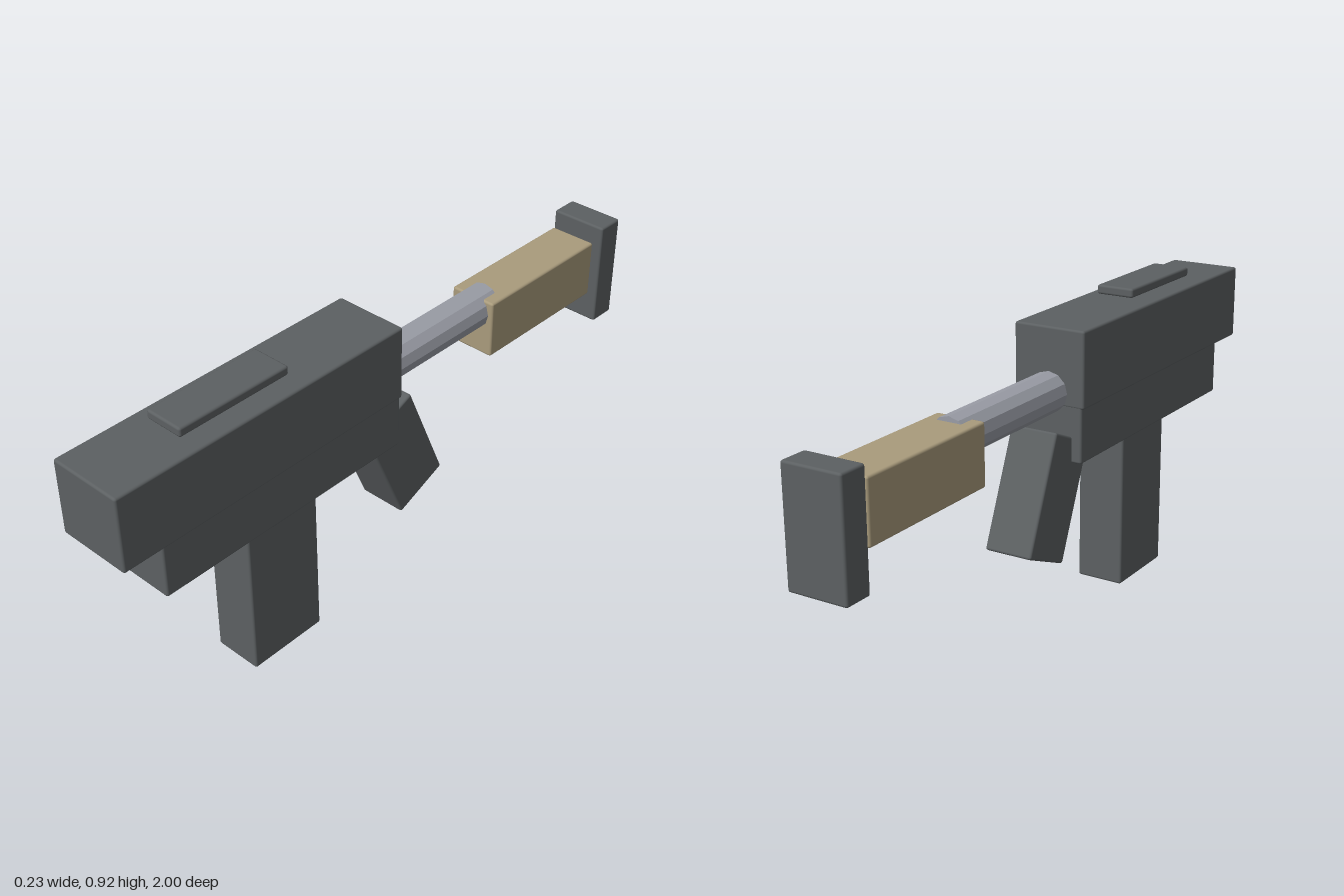
import * as THREE from 'three';
import { RoundedBoxGeometry } from 'three/addons/geometries/RoundedBoxGeometry.js';

export function createModel() {
  const group = new THREE.Group();
  const mat = (name, color) => {
    const m = new THREE.MeshStandardMaterial({ color });
    m.name = name;
    return m;
  };
  const darkMetal = mat('darkMetal', 0x5c6062);
  const steel = mat('steel', 0x9a9da6);
  const tan = mat('tan', 0xa99b7c);
  steel.flatShading = true;

  const add = (name, geometry, material, y, z) => {
    const mesh = new THREE.Mesh(geometry, material);
    mesh.name = name;
    mesh.position.set(0, y, z);
    group.add(mesh);
    return mesh;
  };
  // Softly bevelled block given by its width and its y and z ranges
  const block = (name, material, w, y0, y1, z0, z1) =>
    add(name, new RoundedBoxGeometry(w, y1 - y0, z1 - z0, 2, 0.007),
      material, (y0 + y1) / 2, (z0 + z1) / 2);

  // Body
  block('upperBody', darkMetal, 0.226, 0.652, 0.878, 0.025, 1);
  block('lowerBody', darkMetal, 0.212, 0.49, 0.67, 0.026, 0.878);
  block('topRail', darkMetal, 0.12, 0.889, 0.917, 0.394, 0.756);
  block('magazine', darkMetal, 0.15, 0, 0.492, 0.326, 0.58);

  // Raked rear grip
  const grip = block('grip', darkMetal, 0.15, 0.22, 0.58, -0.132, 0.057);
  grip.rotation.x = 0.4;

  // Stock: twelve-sided tube, sleeve and butt plate
  const tube = new THREE.CylinderGeometry(0.06, 0.06, 0.5, 12).rotateX(Math.PI / 2);
  add('stockTube', tube, steel, 0.69, -0.21);
  block('stockSleeve', tan, 0.15, 0.554, 0.734, -0.89, -0.405);
  block('buttPlate', darkMetal, 0.18, 0.447, 0.778, -1, -0.912);

  return group;
}
